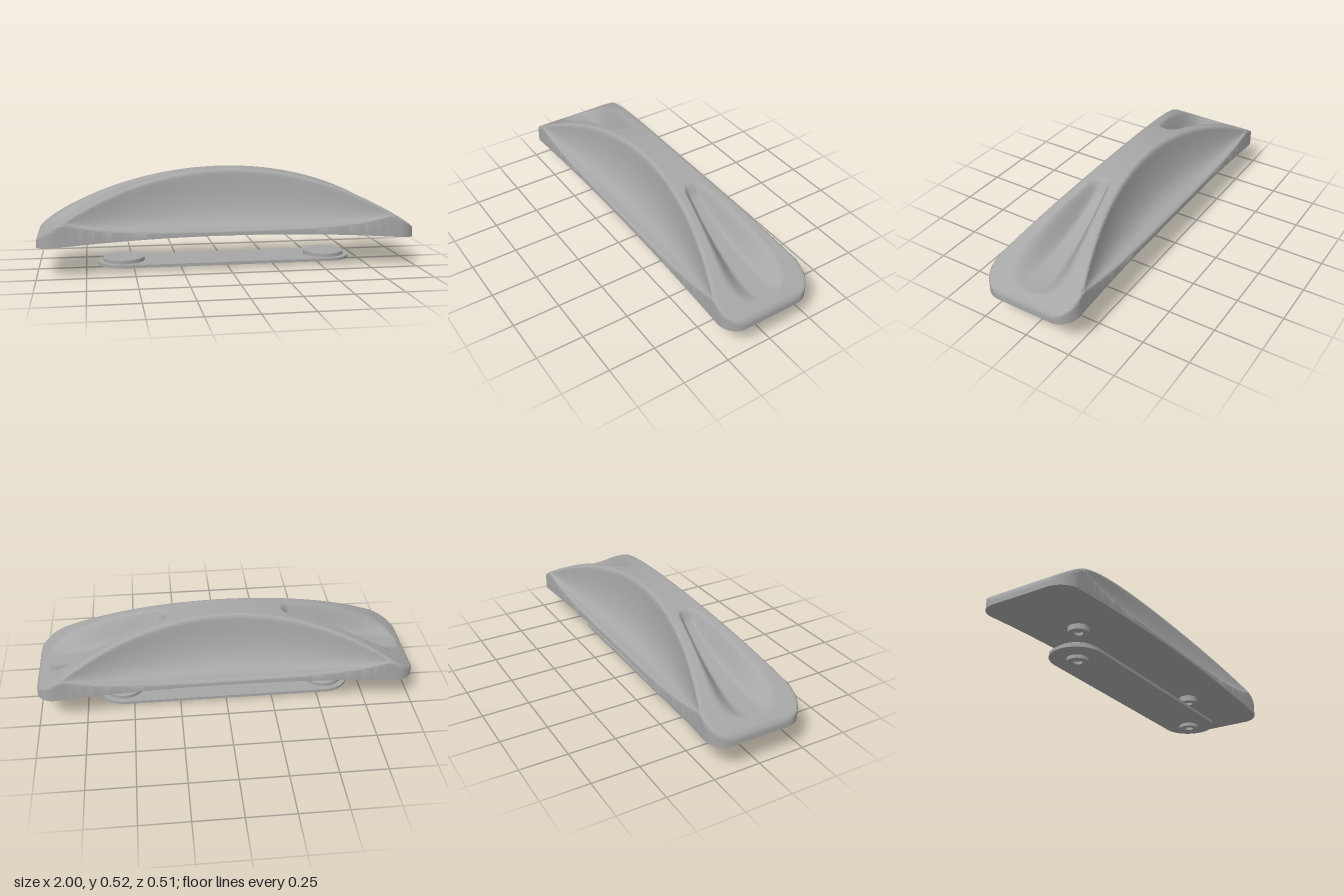
import * as THREE from 'three';
import { toCreasedNormals } from 'three/addons/utils/BufferGeometryUtils.js';

const material = new THREE.MeshStandardMaterial({ color: 0xa6a6a6 });
const { clamp, smoothstep } = THREE.MathUtils;
const STUD_X = 0.55;

// Profile rules along the length of the handle
const halfDepth = (x) => (x < 0.9 ? 0.253 : 0.153 + Math.sqrt(Math.max(0, 0.01 - (x - 0.9) ** 2)));
const underside = (x) => 0.2 - 0.047 * x * x;
function crown(x) {
  const arc = 0.525 - (1.7 - Math.sqrt(1.7 * 1.7 - x * x));
  const d = Math.max(0, x - 0.98);
  return arc - (0.02 - Math.sqrt(Math.max(0, 0.0004 - d * d)));
}

// Top surface: crown with a thumb pocket sunk into each end
function topHeight(x, z) {
  const h = crown(x);
  if (x <= 0.3 || x >= 0.955) return h;
  const floor = 0.235 + 0.235 * Math.pow(Math.max(0, (0.95 - x) / 0.65), 2);
  const depth = Math.max(0, h - floor) * smoothstep(x, 0.295, 0.35);
  const tip = clamp((x - 0.29) / 0.06, 0, 1);
  const end = clamp((0.96 - x) / 0.1, 0, 1);
  const width = clamp(0.052 + (x - 0.33) * 0.2, 0.05, 0.145)
    * Math.sqrt(1 - (1 - tip) ** 2) * Math.sqrt(1 - (1 - end) ** 2);
  return h - depth * (1 - smoothstep(Math.abs(z) / width, 0.3, 1.08));
}

// Half cross-section from the centre line, over the ridge edge, down the scoop to the base
function halfSection(x) {
  const D = halfDepth(x);
  const raw = D - (0.085 + 0.225 * x * x);
  const gap = (raw + Math.sqrt(raw * raw + 0.0001)) / 2; // scoop width, fading out at the ends
  const w = D - gap;
  const H = crown(x), B = underside(x);
  const L = Math.min(0.23 + 0.04 * Math.pow(x / 0.8, 4), H - 0.012);
  const inset = 0.018 * clamp(gap / 0.06, 0, 1);
  const V = (z, y) => new THREE.Vector2(z, y);
  const r = 0.02;
  const wall = new THREE.CubicBezierCurve(
    V(w, H), V(w + 0.08 * gap, H - 0.72 * (H - L)),
    V(w + 0.38 * gap, L), V(D - inset, L));
  const t0 = clamp(0.009 / (H - L), 0.05, 0.4);
  const points = [];
  for (let i = 0; i < 32; i++) {
    const z = (w - r) * i / 32;
    points.push(V(z, topHeight(x, z)));
  }
  const edge = new THREE.QuadraticBezierCurve(V(w - r, H), V(w, H), wall.getPoint(t0));
  points.push(...edge.getPoints(8));
  for (let i = 1; i <= 20; i++) points.push(wall.getPoint(t0 + (0.97 - t0) * i / 20));
  const lipY = Math.max(B + 0.003, L - 0.014);
  const lip = new THREE.QuadraticBezierCurve(wall.getPoint(0.97), V(D, L), V(D, lipY));
  points.push(...lip.getPoints(6).slice(1), V(D, B));
  return points;
}

function handleGeometry() {
  // Stations are closer together at the pocket tips and rounded corners
  const half = [];
  for (let i = 0; i < 12; i++) half.push(0.28 * i / 12);
  for (let i = 0; i < 34; i++) half.push(0.28 + 0.12 * i / 34);
  for (let i = 0; i < 40; i++) half.push(0.4 + 0.5 * i / 40);
  for (let i = 0; i <= 18; i++) half.push(0.9 + 0.1 * Math.sin(Math.PI / 2 * i / 18));
  const xs = [...half.slice(1).reverse().map((x) => -x), ...half];

  const pos = [], index = [];
  let n = 0;
  for (const x of xs) {
    const side = halfSection(Math.abs(x));
    const ring = [...side.slice().reverse(), ...side.slice(1).map((p) => new THREE.Vector2(-p.x, p.y))];
    n = ring.length;
    ring.forEach((p) => pos.push(x, p.y, p.x));
  }
  for (let i = 0; i < xs.length - 1; i++) {
    for (let j = 0; j < n; j++) {
      const k = (j + 1) % n;
      const a = i * n + j, b = a + n, d = i * n + k, c = d + n;
      index.push(a, b, d, b, c, d);
    }
  }
  // End caps
  const last = (xs.length - 1) * n, centre = pos.length / 3;
  pos.push(-1, 0.165, 0, 1, 0.165, 0);
  for (let j = 0; j < n; j++) {
    const k = (j + 1) % n;
    index.push(centre, j, k, centre + 1, last + k, last + j);
  }
  const g = new THREE.BufferGeometry();
  g.setAttribute('position', new THREE.Float32BufferAttribute(pos, 3));
  g.setIndex(index);
  return toCreasedNormals(g, 1.1);
}

// Turned part from [radius, height] pairs, listed from bottom centre to top
const turned = (pairs) => toCreasedNormals(
  new THREE.LatheGeometry(pairs.map(([r, y]) => new THREE.Vector2(r, y)), 48), 0.6);

export function createModel() {
  const model = new THREE.Group();
  const add = (name, geometry, x = 0, y = 0) => {
    const mesh = new THREE.Mesh(geometry, material);
    mesh.name = name;
    mesh.position.set(x, y, 0);
    model.add(mesh);
  };

  add('handleBody', handleGeometry());

  // Backing plate with round ends
  const outline = new THREE.Shape();
  outline.absarc(STUD_X, 0, 0.138, -Math.PI / 2, Math.PI / 2, false);
  outline.absarc(-STUD_X, 0, 0.138, Math.PI / 2, Math.PI * 1.5, false);
  const plate = new THREE.ExtrudeGeometry(outline, { depth: 0.016, bevelEnabled: false, curveSegments: 32 });
  plate.rotateX(-Math.PI / 2);
  add('backingPlate', toCreasedNormals(plate, 0.6), 0, 0.018);

  // Hollow studs under the body and plate, and pads on the plate
  const stud = turned([[0, 0.015], [0.024, 0.015], [0.024, 0], [0.053, 0], [0.053, 0.036]]);
  const pad = turned([[0, 0], [0.11, 0], [0.11, 0.019], [0.107, 0.022], [0, 0.022]]);
  for (const [side, s] of [['left', 1], ['right', -1]]) {
    add(side + 'BodyStud', stud, s * STUD_X, 0.155);
    add(side + 'PlateStud', stud, s * STUD_X, 0);
    add(side + 'Pad', pad, s * STUD_X, 0.034);
  }
  return model;
}
